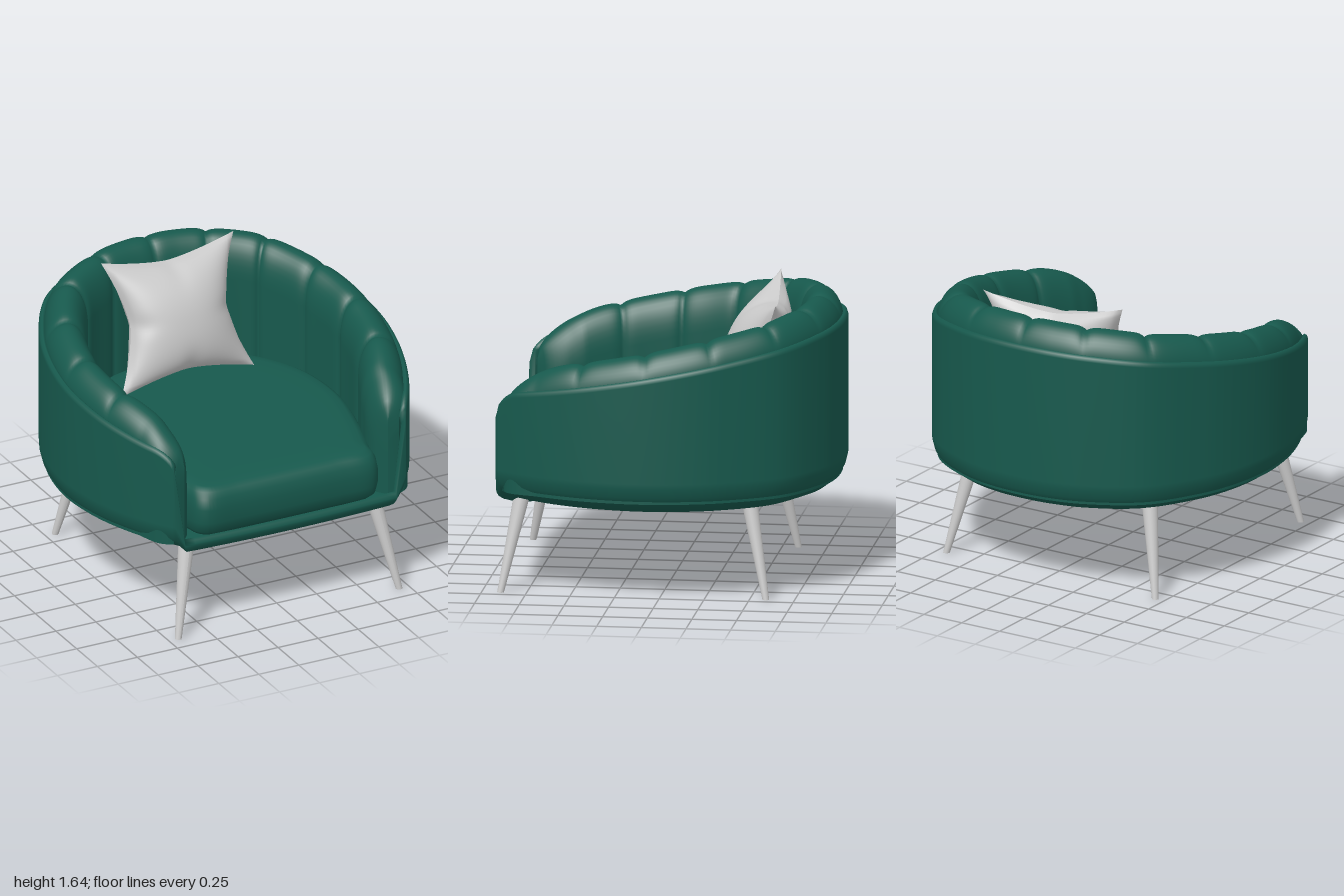
import * as THREE from 'three';

const green = new THREE.MeshStandardMaterial({ color: 0x17594d, roughness: 0.8, side: THREE.DoubleSide });
const grey = new THREE.MeshStandardMaterial({ color: 0xcccccc, side: THREE.DoubleSide });
const V = (x, y, z) => new THREE.Vector3(x, y, z);

// Skin a list of equally long rows of points (rows run bottom to top).
function loft(rows, closed) {
  const n = rows[0].length, index = [];
  for (let j = 0; j < rows.length - 1; j++) {
    for (let i = 0; i < (closed ? n : n - 1); i++) {
      const a = j * n + i, b = j * n + (i + 1) % n;
      index.push(a, b, a + n, b, b + n, a + n);
    }
  }
  const geo = new THREE.BufferGeometry().setFromPoints(rows.flat());
  geo.setIndex(index);
  geo.computeVertexNormals();
  return geo;
}

function add(parent, name, geo, mat) {
  const mesh = new THREE.Mesh(geo, mat);
  mesh.name = name;
  parent.add(mesh);
  return mesh;
}

// Mirror a half plan [x, z] (front to back, ending on x = 0) to the other side.
function mirrorPlan(half) {
  const other = half.slice(0, -1).reverse().map(([x, z]) => [-x, z]);
  return [...half, ...other].map(([x, z]) => V(x, 0, z));
}

// Inward plan normals for a row of points.
function inward(pts, closed) {
  const n = pts.length;
  return pts.map((p, i) => {
    const a = closed ? pts[(i + n - 1) % n] : pts[Math.max(i - 1, 0)];
    const b = closed ? pts[(i + 1) % n] : pts[Math.min(i + 1, n - 1)];
    const t = b.clone().sub(a).normalize();
    return V(t.z, 0, -t.x);
  });
}

const STEPS = 252, SEAM = 20;
const outline = new THREE.CatmullRomCurve3(mirrorPlan([
  [0.72, 0.92], [0.83, 0.75], [0.93, 0.51], [0.98, 0.3], [0.998, 0.08], [0.965, -0.18],
  [0.89, -0.4], [0.7, -0.7], [0.4, -0.88], [0.2, -0.935], [0, -0.95],
]), false, 'centripetal');
outline.arcLengthDivisions = 800;
const wall = outline.getSpacedPoints(STEPS);
const step = outline.getLength() / STEPS;
const endDistance = (i) => Math.min(i, STEPS - i) * step;
const round = (d, r) => Math.sqrt(1 - (1 - Math.min(1, d / r)) ** 2);
const rimLine = (z) => 1.15 + (0.8 - z) * 0.18;

// Outer shell: rounded underside, raised wall and low front lip in one skin.
function shellGeometry() {
  const front = [];
  for (let i = 1; i < 24; i++) {
    const u = i / 12 - 1;
    front.push(V(0.72 * u, 0, 0.92 + 0.025 * (1 - u * u)));
  }
  const ring = [...wall, ...front], normals = inward(ring, true);
  const isWall = (i) => i <= STEPS;
  const top = (i) => isWall(i) ? rimLine(ring[i].z) - 0.11 * (1 - round(endDistance(i), 0.16)) : 0.6;
  const rows = [[0, 0.47], [0.5, 0.475], [0.7, 0.487], [0.83, 0.51], [0.91, 0.54], [0.96, 0.58],
    [0.985, 0.62], [0.998, 0.67], [1, 0.7]].map(([s, y]) => ring.map((p, i) =>
    V(p.x * s, 0.47 + (y - 0.47) * (isWall(i) ? 1 : 0.45), p.z * s)));
  for (const [inset, dy] of [[0, -0.02], [0.006, 0], [0.02, 0.01], [0.034, 0], [0.04, -0.02]]) {
    rows.push(ring.map((p, i) => p.clone().addScaledVector(normals[i], inset).setY(top(i) + dy)));
  }
  rows.push(ring.map((p, i) => p.clone().addScaledVector(normals[i], 0.04).setY(0.58)));
  rows.push(ring.map(() => V(0, 0.58, 0)));
  return loft(rows, true);
}

// Channelled padding: an arched section swept round the wall, with rounded front ends.
function paddingGeometry() {
  const normals = inward(wall, false), rows = [], ARC = 20;
  for (let k = -1; k <= ARC + 4; k++) {
    const a = THREE.MathUtils.clamp(k / ARC, 0, 1) * Math.PI;
    rows.push(wall.map((p, i) => {
      const d = endDistance(i), fromBack = Math.abs(i - STEPS / 2);
      const f = fromBack % SEAM, gap = Math.min(f, SEAM - f) / (SEAM / 2);
      const groove = fromBack > 5.5 * SEAM ? 0 : (1 - gap) ** 6 * 0.022;
      const e = round(d, 0.14);
      const centre = 0.1 + 0.05 * Math.min(1, d / 0.25);
      const w = 0.12 * e;
      const r = THREE.MathUtils.lerp(0.15, 0.24, a / Math.PI);
      const peak = rimLine(p.z) + 0.13 - 0.22 * (1 - round(d, 0.45));
      const off = centre - (w - (a > Math.PI / 2 ? groove : 0)) * Math.cos(a);
      let y = peak - r + (r - groove) * Math.sin(a);
      if (k < 0) y = 0.58;
      if (k > ARC) y = THREE.MathUtils.lerp(y, 0.58, (k - ARC) / 4);
      return p.clone().addScaledVector(normals[i], off).setY(y);
    }));
  }
  return loft(rows, false);
}

// Seat cushion with softly rolled edges.
function seatGeometry() {
  const plan = new THREE.CatmullRomCurve3(mirrorPlan([
    [0.3, 0.93], [0.51, 0.925], [0.565, 0.88], [0.59, 0.78], [0.67, 0.5], [0.74, 0.1],
    [0.68, -0.3], [0.45, -0.62], [0, -0.74],
  ]), true, 'centripetal').getPoints(128).slice(0, -1);
  const rows = [[0, 0.59], [0.95, 0.59], [0.985, 0.62], [1, 0.68], [1, 0.76], [0.987, 0.82],
    [0.96, 0.855], [0.92, 0.873], [0.85, 0.88], [0.6, 0.885], [0, 0.885]];
  return loft(rows.map(([s, y]) => plan.map((p) => V(p.x * s, y, p.z * s))), true);
}

// One face of the pillow: pinched edges, pointed corners, plump middle.
function pillowFace(side) {
  const N = 36, rows = [];
  for (let j = 0; j <= N; j++) {
    const v = j / N * 2 - 1, row = [];
    for (let i = 0; i <= N; i++) {
      const u = (i / N * 2 - 1) * side;
      const pinch = (t) => 1 - Math.abs(t) ** 1.5;
      const fold = 1 - 0.3 * (Math.exp(-((u / 0.14) ** 2)) * v ** 4 + Math.exp(-((v / 0.14) ** 2)) * u ** 4);
      const h = 0.17 * ((1 - u * u) * (1 - v * v)) ** 0.6 * fold;
      row.push(V(
        0.435 * u * (1 - 0.27 * pinch(v) * Math.abs(u)),
        1.265 - 0.015 * u + 0.36 * v * (1 - 0.22 * pinch(u) * Math.abs(v)) + side * h * 0.3,
        -0.445 - 0.125 * v - 0.04 * u + side * h));
    }
    rows.push(row);
  }
  return loft(rows, false);
}

// Tapered leg, sheared so that its foot stays flat on the floor.
function legGeometry(top, foot) {
  const H = 0.53, geo = new THREE.CylinderGeometry(0.046, 0.019, H, 20);
  geo.translate(0, H / 2, 0);
  const sx = (top[0] - foot[0]) / H, sz = (top[1] - foot[1]) / H;
  geo.applyMatrix4(new THREE.Matrix4().set(1, sx, 0, foot[0], 0, 1, 0, 0, 0, sz, 1, foot[1], 0, 0, 0, 1));
  geo.computeVertexNormals();
  return geo;
}

export function createModel() {
  const chair = new THREE.Group();
  chair.name = 'armchair';
  add(chair, 'shell', shellGeometry(), green);
  add(chair, 'channelledPadding', paddingGeometry(), green);
  add(chair, 'seatCushion', seatGeometry(), green);

  const pillow = new THREE.Group();
  pillow.name = 'pillow';
  add(pillow, 'pillowFront', pillowFace(1), grey);
  add(pillow, 'pillowBack', pillowFace(-1), grey);
  chair.add(pillow);

  for (const s of [1, -1]) {
    const label = s > 0 ? 'Left' : 'Right';
    add(chair, 'frontLeg' + label, legGeometry([s * 0.585, 0.79], [s * 0.69, 0.895]), grey);
    add(chair, 'backLeg' + label, legGeometry([s * 0.585, -0.485], [s * 0.69, -0.59]), grey);
  }
  return chair;
}
